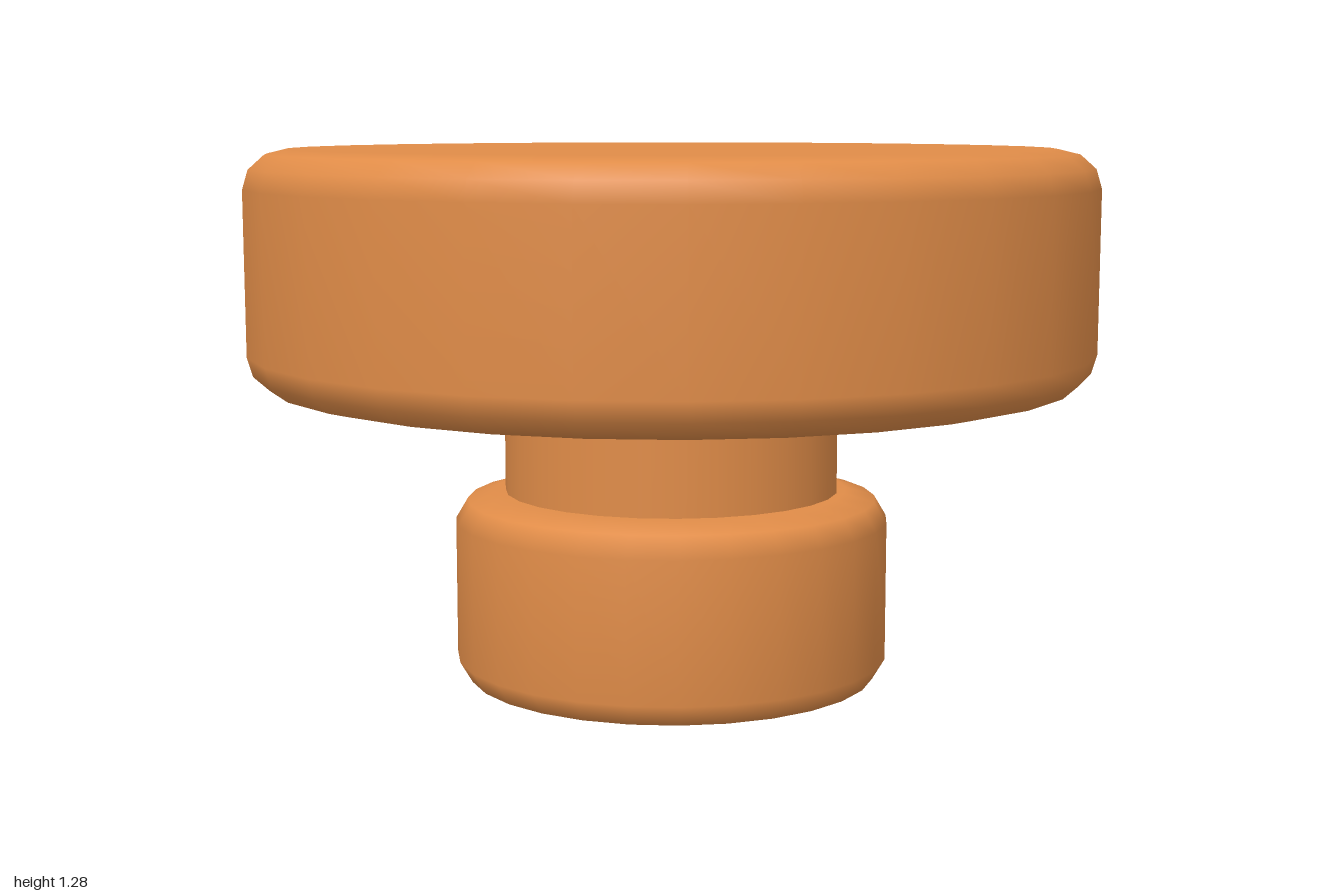
import * as THREE from 'three';

const SIDES = 28;

// Solid round disc with rounded rims; the bevel is an elliptical arc.
function roundedDisc(name, radius, bottom, top, inset, rise, steps, material) {
  const profile = [new THREE.Vector2(0, bottom)];
  const arc = (i) => (i / steps) * Math.PI / 2;
  for (let i = 0; i <= steps; i++) {
    profile.push(new THREE.Vector2(
      radius - inset + inset * Math.sin(arc(i)),
      bottom + rise - rise * Math.cos(arc(i))));
  }
  for (let i = steps; i >= 0; i--) {
    profile.push(new THREE.Vector2(
      radius - inset + inset * Math.sin(arc(i)),
      top - rise + rise * Math.cos(arc(i))));
  }
  profile.push(new THREE.Vector2(0, top));
  const mesh = new THREE.Mesh(new THREE.LatheGeometry(profile, SIDES), material);
  mesh.name = name;
  return mesh;
}

export function createModel() {
  const group = new THREE.Group();
  group.name = 'knob';
  const orange = new THREE.MeshStandardMaterial({ color: 0xe08c48 });
  orange.name = 'orange';

  // Wide cap and narrow foot
  group.add(roundedDisc('cap', 1, 0.725, 1.285, 0.1, 0.09, 3, orange));
  group.add(roundedDisc('foot', 0.52, 0, 0.47, 0.1, 0.07, 2, orange));

  // Stem joining them, ends hidden inside both
  const stem = new THREE.Mesh(
    new THREE.CylinderGeometry(0.4, 0.4, 0.36, SIDES), orange);
  stem.name = 'stem';
  stem.position.y = 0.6;
  group.add(stem);

  return group;
}
